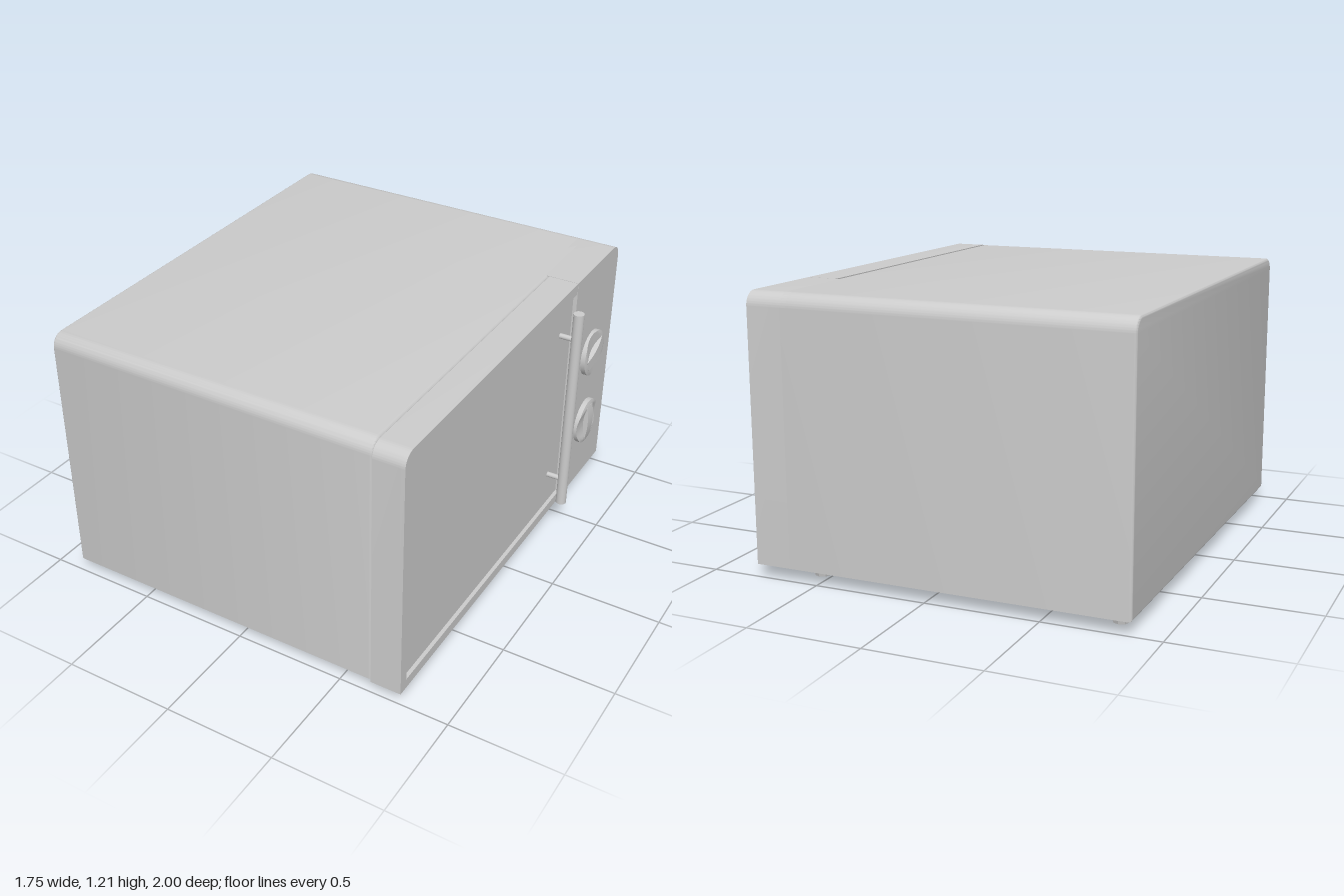
import * as THREE from 'three';
import { toCreasedNormals } from 'three/addons/utils/BufferGeometryUtils.js';

const BOTTOM = 0.055, TOP = 1.21, FACE = 0.785;

export function createModel() {
  const group = new THREE.Group();
  const grey = new THREE.MeshStandardMaterial({ color: 0xcccccc });
  const faceted = new THREE.MeshStandardMaterial({ color: 0xcccccc, flatShading: true });

  const add = (name, geometry, material = grey, parent = group) => {
    const mesh = new THREE.Mesh(geometry, material);
    mesh.name = name;
    parent.add(mesh);
    return mesh;
  };

  // Outline in the side plane (horizontal = -z), with rounded upper corners
  const outline = (zFront, zBack, rFront, rBack) => {
    const s = new THREE.Shape();
    s.moveTo(-zFront, BOTTOM);
    s.lineTo(-zBack, BOTTOM);
    s.lineTo(-zBack, TOP - rBack);
    if (rBack) s.absarc(-zBack - rBack, TOP - rBack, rBack, 0, Math.PI / 2);
    if (rFront) s.absarc(-zFront + rFront, TOP - rFront, rFront, Math.PI / 2, Math.PI);
    else s.lineTo(-zFront, TOP);
    return s;
  };

  // Extrude an outline along x, from x0 to x1
  const alongX = (shape, x0, x1, bevel = 0) => {
    const g = new THREE.ExtrudeGeometry(shape, {
      depth: x1 - x0 - 2 * bevel, curveSegments: 10,
      bevelEnabled: bevel > 0, bevelSize: bevel, bevelThickness: bevel,
      bevelOffset: -bevel, bevelSegments: 4,
    });
    g.translate(0, 0, x0 + bevel).rotateY(Math.PI / 2);
    return toCreasedNormals(g, 0.6);
  };

  // Cabinet and the control panel that stands forward beside the door
  add('cabinet', alongX(outline(0.988, -1, 0.06, 0.06), -0.875, 0.64, 0.012));
  add('controlPanel', alongX(outline(-0.533, -1, 0, 0.06), 0.6, FACE));

  // Door: slab, raised rim open on the handle side, and seal behind it
  const door = new THREE.Group();
  door.name = 'door';
  group.add(door);
  const recess = 0.768;
  add('doorSlab', alongX(outline(1, -0.53, 0.06, 0), 0.647, recess), grey, door);
  const rim = new THREE.Shape();
  rim.moveTo(-1, BOTTOM);
  rim.lineTo(0.53, BOTTOM);
  rim.lineTo(0.53, 0.1);
  rim.lineTo(-0.955, 0.1);
  rim.lineTo(-0.955, 1.145);
  rim.lineTo(-0.94, 1.16);
  rim.lineTo(0.53, 1.16);
  rim.lineTo(0.53, TOP);
  rim.absarc(-0.94, TOP - 0.06, 0.06, Math.PI / 2, Math.PI);
  add('doorRim', alongX(rim, recess, FACE), grey, door);
  add('doorSeal', new THREE.BoxGeometry(0.03, 0.69, 1.36), grey, door).position.set(0.643, 0.655, 0.24);

  // Bar handle on two posts
  add('handleBar', new THREE.CylinderGeometry(0.024, 0.024, 1, 24), grey, door).position.set(0.846, 0.635, -0.412);
  for (const y of [1.005, 0.265]) {
    const post = add('handlePost', new THREE.CylinderGeometry(0.012, 0.012, 0.085, 16), grey, door);
    post.rotation.z = Math.PI / 2;
    post.position.set(0.803, y, -0.412);
  }

  // Knob: domed disc scooped away on both sides of an arched grip
  const dome = (r) => 0.022 + 0.016 * (1 - (r / 0.11) ** 2);
  const makeKnob = (y, angle) => {
    const knob = new THREE.Group();
    knob.name = 'knob';
    const profile = [[0.11, 0], [0.11, 0.022]];
    for (let i = 11; i >= 0; i--) profile.push([0.11 * i / 12, dome(0.11 * i / 12)]);
    let disc = new THREE.LatheGeometry(profile.map(([r, h]) => new THREE.Vector2(r, h)), 48);
    const p = disc.attributes.position;
    for (let i = 0; i < p.count; i++) {
      const scoop = 0.014 + 0.014 * (p.getZ(i) / 0.08) ** 2;
      p.setY(i, Math.min(p.getY(i), scoop));
    }
    disc = toCreasedNormals(disc, 0.5);
    add('knobDisc', disc, grey, knob);

    const arch = new THREE.Shape();
    arch.moveTo(-0.085, 0);
    arch.lineTo(0.085, 0);
    for (let i = 8; i >= -8; i--) arch.lineTo(0.085 * i / 8, dome(0.085 * i / 8));
    const grip = new THREE.ExtrudeGeometry(arch, { depth: 0.06, bevelEnabled: false });
    grip.translate(0, 0, -0.03).rotateY(Math.PI / 2);
    add('knobGrip', toCreasedNormals(grip, 0.5), grey, knob);

    // Turn the knob's axis from y to x, then set its dial angle
    const lie = new THREE.Quaternion().setFromAxisAngle(new THREE.Vector3(0, 0, 1), -Math.PI / 2);
    const dial = new THREE.Quaternion().setFromAxisAngle(new THREE.Vector3(1, 0, 0), angle);
    knob.quaternion.copy(dial.multiply(lie));
    knob.position.set(FACE, y, -0.76);
    group.add(knob);
  };
  makeKnob(0.755, THREE.MathUtils.degToRad(26));
  makeKnob(0.38, Math.PI / 2);

  // Four tapered feet
  for (const x of [-0.787, 0.547]) {
    for (const z of [-0.868, 0.868]) {
      add('foot', new THREE.CylinderGeometry(0.048, 0.034, 0.06, 8), faceted).position.set(x, 0.03, z);
    }
  }
  return group;
}
